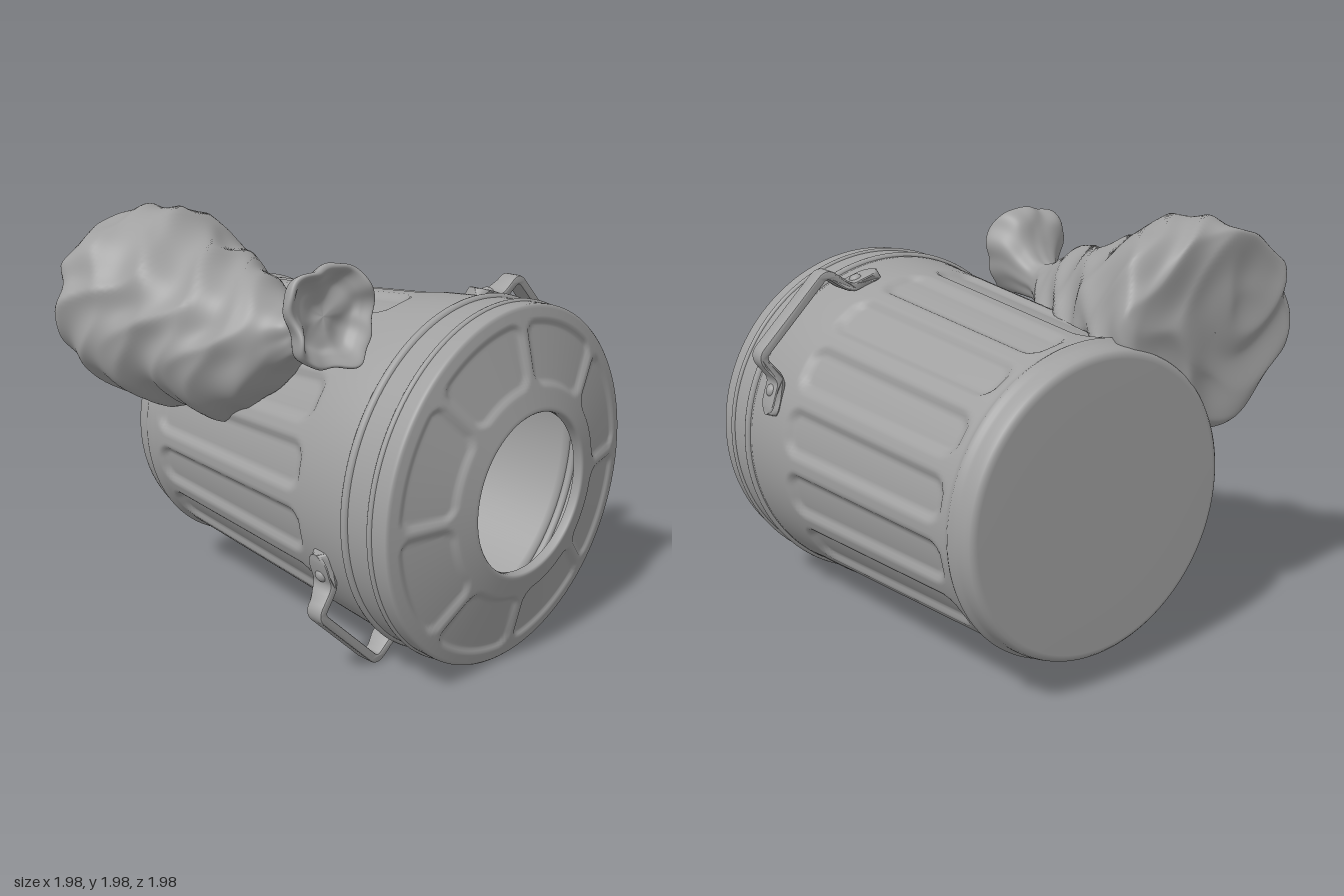
import * as THREE from 'three';
import { toCreasedNormals } from 'three/addons/utils/BufferGeometryUtils.js';

const CX = 0.15, CY = 0.843;                 // axis of the bin, running along z
const wallR = z => 0.762 + 0.085 * z;        // tapered wall radius
const smooth = THREE.MathUtils.smoothstep;
const { sin, cos, abs, max, min, hypot, sqrt, PI } = Math;
const mat = new THREE.MeshStandardMaterial({ color: 0xa0a0a0 });
const dbl = new THREE.MeshStandardMaterial({ color: 0xa0a0a0, side: THREE.DoubleSide });

function add(parent, name, geo, material = mat) {
  const m = new THREE.Mesh(geo, material);
  m.name = name;
  parent.add(m);
  return m;
}

// Closed rings of vertices joined row to row; point(row, angle) gives [x, y, z]
function loft(rows, segs, point) {
  const pos = [], idx = [];
  rows.forEach((row, i) => {
    for (let j = 0; j < segs; j++) {
      pos.push(...point(row, (j / segs) * PI * 2));
      if (i === rows.length - 1) continue;
      const a = i * segs + j, b = i * segs + (j + 1) % segs;
      idx.push(a, b, a + segs, b, b + segs, a + segs);
    }
  });
  const g = new THREE.BufferGeometry();
  g.setAttribute('position', new THREE.Float32BufferAttribute(pos, 3));
  g.setIndex(idx);
  g.computeVertexNormals();
  return g;
}

// Signed distance to a rounded rectangle
function roundRect(x, y, hx, hy, r) {
  const qx = abs(x) - hx + r, qy = abs(y) - hy + r;
  return hypot(max(qx, 0), max(qy, 0)) + min(max(qx, qy), 0) - r;
}

// Angle measured from the middle of the nearest of n sectors
function sectorAngle(a, n) {
  const p = (PI * 2) / n;
  return a - (Math.floor(a / p) + 0.5) * p;
}

// Hollow tapered body with sixteen pressed panels
function bodyGeometry() {
  const rows = [[0, -0.985], [0.3, -0.985], [0.64, -0.985], [0.66, -0.981], [0.673, -0.97], [0.68, -0.95]];
  for (let z = -0.92; z < -0.819; z += 0.0125) {
    rows.push([wallR(z) + 0.016 * Math.exp(-(((z + 0.87) / 0.018) ** 2)), z]);
  }
  for (let i = 0; i <= 64; i++) {
    const z = -0.815 + i * 0.0184;
    rows.push([wallR(z), z, true]);
  }
  rows.push([wallR(0.63), 0.63], [wallR(0.63) - 0.04, 0.63]);
  rows.push([wallR(0.6) - 0.045, 0.6], [wallR(-0.9) - 0.045, -0.9], [0.6, -0.94], [0, -0.94]);
  return loft(rows, 320, ([r, z, panel], a) => {
    if (panel) {
      const d = roundRect(sectorAngle(a, 16) * r, z + 0.235, r * 0.157, 0.57, 0.09);
      r -= 0.026 * smooth(-d, 0, 0.045);
    }
    return [r * cos(a), r * sin(a), z];
  });
}

// Conical lid with eight recessed sectors and a round opening
function lidGeometry() {
  const rows = [[0.8, 0.61], [0.816, 0.615], [0.817, 0.64], [0.819, 0.7], [0.823, 0.79], [0.826, 0.865], [0.825, 0.878], [0.818, 0.885]];
  for (let i = 1; i <= 40; i++) {
    const r = 0.818 - (i / 40) * 0.433;
    rows.push([r, 0.885 + (i / 40) * 0.105, true]);
  }
  rows.push([0.376, 0.989], [0.371, 0.984], [0.369, 0.975], [0.369, 0.945], [0.377, 0.94], [0.79, 0.845]);
  return loft(rows, 256, ([r, z, panel], a) => {
    if (panel) {
      const d = roundRect(sectorAngle(a, 8) * r, r - 0.622, r * PI / 8 - 0.012, 0.145, 0.07);
      z -= 0.016 * smooth(-d, 0, 0.03);
    }
    return [r * cos(a), r * sin(a), z];
  });
}

// Bent strap with broad round feet, and a rivet in each foot
function handle(angle) {
  const g = new THREE.Group();
  g.name = 'handle';
  const half = new THREE.Path();
  half.moveTo(0, 0.918);
  half.lineTo(0.205, 0.918);
  half.quadraticCurveTo(0.25, 0.918, 0.255, 0.875);
  half.lineTo(0.264, 0.815);
  half.quadraticCurveTo(0.27, 0.778, 0.3, 0.762);
  half.quadraticCurveTo(0.36, 0.735, 0.415, 0.7);
  const right = half.getSpacedPoints(50);
  const mid = [...right.slice(1).reverse().map(p => new THREE.Vector2(-p.x, p.y)), ...right];
  const side = s => mid.map((p, i) => {
    const t = mid[min(i + 1, 100)].clone().sub(mid[max(i - 1, 0)]).normalize();
    return new THREE.Vector2(p.x - t.y * s, p.y + t.x * s);
  });
  const shape = new THREE.Shape([...side(-0.013), ...side(0.013).reverse()]);
  const geo = new THREE.ExtrudeGeometry(shape, { depth: 0.074, bevelSize: 0.008, bevelThickness: 0.008, bevelSegments: 2 });
  geo.translate(0, 0, -0.037);
  // widen the feet and round off their ends
  const p = geo.attributes.position;
  for (let i = 0; i < p.count; i++) {
    const foot = 1 - smooth(p.getY(i), 0.79, 0.88);
    const e = min(max((abs(p.getX(i)) - 0.37) / 0.058, 0), 0.98);
    p.setZ(i, p.getZ(i) * (1 + 0.27 * foot) * sqrt(1 - e * e) + 0.468 - 0.013 * foot);
  }
  add(g, 'handleStrap', toCreasedNormals(geo, 0.6));
  for (const s of [-1, 1]) {
    const a = s * 0.405;
    const rivet = add(g, 'rivet', new THREE.SphereGeometry(0.031, 20, 12));
    rivet.scale.y = 0.7;
    rivet.position.set(0.832 * sin(a), 0.832 * cos(a), 0.455);
    rivet.rotation.z = -a;
  }
  g.position.set(CX, CY, 0);
  g.rotation.z = angle;
  return g;
}

// Creased cloth: broad lumps plus two sets of soft-edged folds
function creases(x, y, z) {
  const fold = q => 1 - 2 * sqrt(sin(q) ** 2 + 0.03);
  const lump = sin(7 * x + 2 * sin(5 * z + 1)) * sin(6 * y + 2 * sin(6 * x + 3 * z));
  const broad = fold(10 * z + 2.2 * sin(4 * x + 1) + 1.6 * sin(5 * y + 2) + 0.8 * sin(9 * x + 7 * y));
  const fine = fold(17 * z + 2 * sin(6 * x + 2) + 2 * sin(7 * y) + 3 * x);
  return 0.016 * lump + 0.017 * broad + 0.011 * fine + 0.006;
}

// Tied sack: centre and radii along z, creased, resting against the bin wall
function bagGeometry() {
  const keys = [ // z, centre x, centre y, radius x, radius y
    [-0.965, -0.48, 1.5, 0.001, 0.001], [-0.967, -0.48, 1.5, 0.22, 0.2], [-0.967, -0.48, 1.5, 0.41, 0.375],
    [-0.945, -0.475, 1.505, 0.475, 0.44], [-0.87, -0.475, 1.515, 0.507, 0.472], [-0.76, -0.47, 1.515, 0.49, 0.462],
    [-0.6, -0.455, 1.485, 0.45, 0.425], [-0.4, -0.46, 1.45, 0.395, 0.38], [-0.2, -0.468, 1.43, 0.335, 0.345],
    [0, -0.485, 1.455, 0.24, 0.25], [0.11, -0.485, 1.5, 0.155, 0.15], [0.19, -0.47, 1.53, 0.1, 0.1],
    [0.27, -0.485, 1.57, 0.125, 0.13], [0.35, -0.515, 1.635, 0.185, 0.195], [0.425, -0.525, 1.66, 0.215, 0.225],
    [0.45, -0.525, 1.66, 0.2, 0.21], [0.42, -0.525, 1.66, 0.165, 0.17], [0.385, -0.52, 1.65, 0.13, 0.13],
    [0.37, -0.52, 1.65, 0.07, 0.07], [0.375, -0.52, 1.65, 0.001, 0.001]];
  const curve = pick => new THREE.CatmullRomCurve3(keys.map(pick), false, 'catmullrom');
  const centre = curve(k => new THREE.Vector3(k[1], k[2], k[0]));
  const radii = curve(k => new THREE.Vector3(k[3], k[4], 0));
  const rows = [];
  for (let i = 0; i <= 171; i++) rows.push([centre.getPoint(i / 171), radii.getPoint(i / 171)]);
  return loft(rows, 128, ([c, r], a) => {
    const neck = smooth(c.z, 0.05, 0.2), mouth = smooth(c.z, 0.25, 0.42);
    const bx = c.x + r.x * cos(a), by = c.y + r.y * sin(a);
    const crease = creases(bx, by, c.z);
    const pleats = 0.035 * sin(5 * a + 1) + 0.02 * sin(9 * a + 14 * c.z) + 0.03 * sin(3 * a) - 0.05 * cos(4 * a);
    const grow = crease * (1 - neck) * min(r.x / 0.25, 1) + pleats * neck * r.x;
    let x = bx + grow * cos(a), y = by + grow * sin(a);
    // creased flat end, slanting and crumpled mouth
    const end = 1 - smooth(c.z, -0.96, -0.85);
    const z = max(-0.99, c.z - 0.5 * crease * end
      + mouth * (min(r.x / 0.2, 1) * (0.038 * cos(a + 0.8) + 0.012 * sin(4 * a)) + 0.012 * sin(32 * bx) * sin(29 * by)));
    // flatten against the bin
    const dx = x - CX, dy = y - CY, d = hypot(dx, dy), wall = wallR(z) - 0.02;
    if (d < wall) { x = CX + dx * wall / d; y = CY + dy * wall / d; }
    return [x, y, z];
  });
}

export function createModel() {
  const model = new THREE.Group();
  model.name = 'binWithBag';

  const bin = new THREE.Group();
  bin.name = 'bin';
  bin.position.set(CX, CY, 0);
  add(bin, 'binBody', bodyGeometry());
  add(bin, 'lid', lidGeometry(), dbl);
  for (const [z, r, t] of [[0.642, 0.814, 0.02], [0.79, 0.82, 0.014]]) {
    add(bin, 'lidRing', new THREE.TorusGeometry(r, t, 12, 128)).position.z = z;
  }
  model.add(bin);

  model.add(handle(-PI / 4), handle(PI * 3 / 4));
  add(model, 'rubbishBag', bagGeometry(), dbl);
  return model;
}
